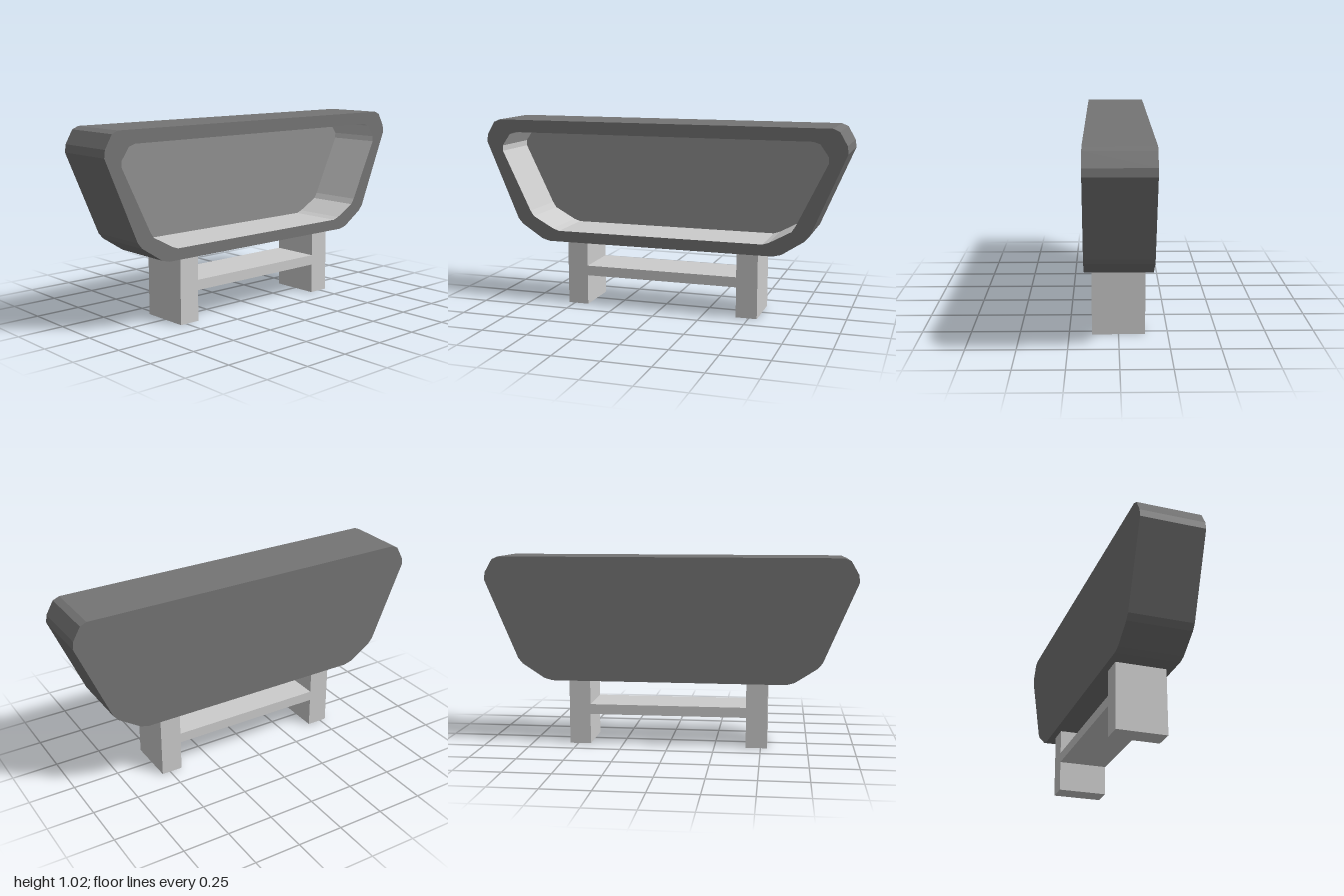
import * as THREE from 'three';

const FRONT = 0.17, BACK = -0.17, PANEL = -0.13;

// Mirrors a left-hand half profile (top to bottom) into a counter-clockwise loop.
function mirrored(half) {
  const other = half.map(([x, y]) => [-x, y]).reverse();
  return [...half, ...other].map(([x, y]) => new THREE.Vector2(x, y));
}

// Flat-faced wall along a closed outline; inward walls face the middle.
function wall(points, zBack, zFront, inward) {
  const pos = [];
  points.forEach((a, i) => {
    const b = points[(i + 1) % points.length];
    const [p, q] = inward ? [b, a] : [a, b];
    pos.push(p.x, p.y, zBack, q.x, q.y, zBack, q.x, q.y, zFront);
    pos.push(p.x, p.y, zBack, q.x, q.y, zFront, p.x, p.y, zFront);
  });
  const g = new THREE.BufferGeometry();
  g.setAttribute('position', new THREE.Float32BufferAttribute(pos, 3));
  g.computeVertexNormals();
  return g;
}

export function createModel() {
  const model = new THREE.Group();
  const grey = new THREE.MeshStandardMaterial({ color: 0xcccccc, flatShading: true });
  const dark = new THREE.MeshStandardMaterial({ color: 0x747474, flatShading: true });
  const mid = new THREE.MeshStandardMaterial({ color: 0x909090, flatShading: true });

  const add = (parent, name, geometry, material, z = 0) => {
    const mesh = new THREE.Mesh(geometry, material);
    mesh.name = name;
    mesh.position.z = z;
    parent.add(mesh);
    return mesh;
  };

  const outer = mirrored([
    [-0.92, 1.025], [-0.955, 1.01], [-0.995, 0.94], [-1, 0.9],
    [-0.82, 0.475], [-0.795, 0.445], [-0.675, 0.367], [-0.63, 0.355],
  ]);
  const inner = mirrored([
    [-0.825, 0.957], [-0.86, 0.945], [-0.905, 0.88], [-0.905, 0.85],
    [-0.745, 0.52], [-0.725, 0.49], [-0.61, 0.427], [-0.575, 0.415],
  ]);

  // Tapered casing: rim, outside wall and closed back
  const casing = new THREE.Group();
  casing.name = 'casing';
  model.add(casing);
  const rim = new THREE.Shape(outer);
  rim.holes.push(new THREE.Path(inner));
  add(casing, 'frontRim', new THREE.ShapeGeometry(rim), dark, FRONT);
  add(casing, 'outerWall', wall(outer, BACK, FRONT, false), dark);
  const back = new THREE.ShapeGeometry(new THREE.Shape(outer));
  add(casing, 'backFace', back, dark, BACK).rotation.y = Math.PI;

  // Recess open to the front
  add(casing, 'recessWall', wall(inner, PANEL, FRONT, true), grey);
  add(casing, 'recessPanel', new THREE.ShapeGeometry(new THREE.Shape(inner)), mid, PANEL);

  // One-piece stand: two slab legs joined by a shelf
  const stand = new THREE.Shape([
    [-0.535, 0], [-0.42, 0], [-0.42, 0.165], [0.43, 0.165], [0.43, 0], [0.545, 0],
    [0.545, 0.355], [0.43, 0.355], [0.43, 0.22], [-0.42, 0.22], [-0.42, 0.355], [-0.535, 0.355],
  ].map(([x, y]) => new THREE.Vector2(x, y)));
  add(model, 'stand', new THREE.ExtrudeGeometry(stand, { depth: 0.27, bevelEnabled: false }), grey, -0.135);

  return model;
}
